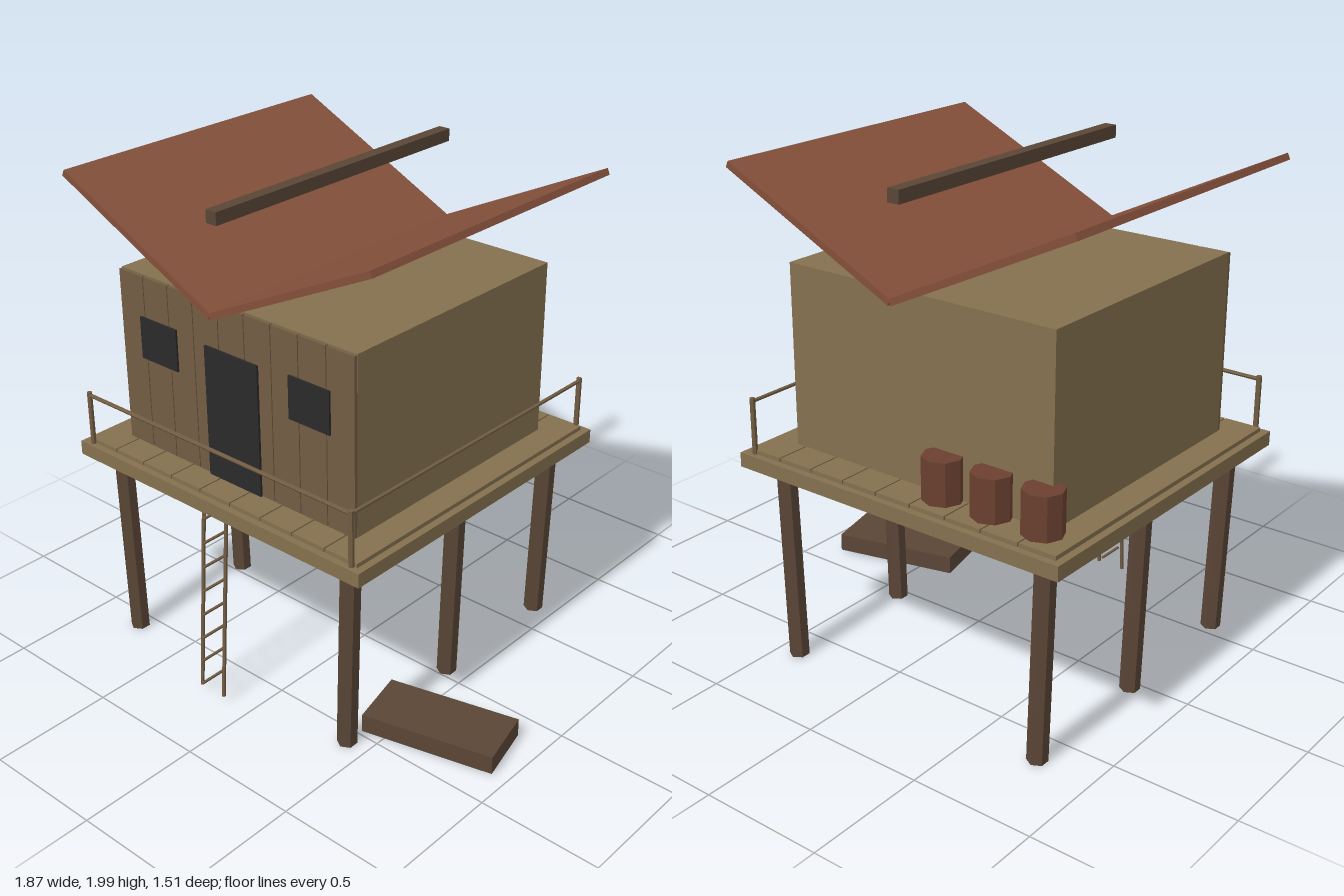
import * as THREE from 'three';

const mat = (color) => new THREE.MeshStandardMaterial({ color, flatShading: true });
const timber = mat(0x85704f), plankWood = mat(0x725d43), darkWood = mat(0x5a4636);
const roofRed = mat(0x84503a), barrelRed = mat(0x6b4030), black = mat(0x2b2a2a);

const CX = -0.18, CZ = -0.04; // centre of the hut

export function createModel() {
  const model = new THREE.Group();

  const add = (name, geometry, material, x, y, z) => {
    const mesh = new THREE.Mesh(geometry, material);
    mesh.name = name;
    mesh.position.set(x, y, z);
    model.add(mesh);
    return mesh;
  };
  const box = (name, material, w, h, d, x, y, z) =>
    add(name, new THREE.BoxGeometry(w, h, d), material, x, y, z);

  // round bar running between two points
  const bar = (name, material, a, b, radius, sides) => {
    const from = new THREE.Vector3(...a), to = new THREE.Vector3(...b);
    const dir = to.clone().sub(from);
    const mid = from.clone().add(to).multiplyScalar(0.5);
    const mesh = add(name, new THREE.CylinderGeometry(radius, radius, dir.length(), sides), material, mid.x, mid.y, mid.z);
    mesh.quaternion.setFromUnitVectors(new THREE.Vector3(0, 1, 0), dir.normalize());
    return mesh;
  };

  // platform and deck planks
  box('platform', timber, 1.475, 0.058, 1.42, CX, 0.848, CZ);
  for (let i = 0; i < 9; i++) {
    box('deckPlank', timber, 0.152, 0.018, 1.365, CX + (i - 4) * 0.158, 0.885, CZ);
  }

  // stilts, leaning slightly inward at the foot
  for (const side of [-1, 1]) {
    for (const z of [0.565, CZ, -0.638]) {
      bar('stilt', darkWood, [CX + side * 0.586, 0.007, z], [CX + side * 0.61, 0.84, z], 0.04, 6);
    }
  }

  // cabin with vertical front boards
  box('cabin', timber, 1.19, 0.735, 1.095, CX, 1.246, -0.036);
  for (let i = 0; i < 9; i++) {
    box('frontBoard', plankWood, 0.128, 0.715, 0.015, CX + (i - 4) * 0.1325, 1.252, 0.518);
  }
  box('door', black, 0.27, 0.538, 0.02, CX, 1.163, 0.525);
  for (const side of [-1, 1]) {
    box('window', black, 0.196, 0.172, 0.02, CX + side * 0.386, 1.36, 0.524);
  }

  // V-shaped roof and the beam floating over its valley
  for (const side of [-1, 1]) {
    const panel = box('roofPanel', roofRed, 0.835, 0.026, 1.34, CX + side * 0.377, 1.796, CZ - 0.005);
    panel.rotation.z = side * 0.448;
  }
  box('ridgeBeam', darkWood, 0.05, 0.05, 1.28, CX, 1.975, -0.045);

  // railing along the front and the left side
  const railY = 1.09, west = -0.866, east = 0.505, front = 0.647, back = -0.722;
  for (const [x, z] of [[west, front], [east, front], [east, back]]) {
    bar('railPost', plankWood, [x, 0.87, z], [x, 1.103, z], 0.011, 6);
  }
  bar('frontRail', plankWood, [west, railY, front], [east, railY, front], 0.008, 6);
  bar('sideRail', plankWood, [east, railY, front], [east, railY, back], 0.008, 6);

  // ladder with rungs pointing fore and aft
  for (const side of [-1, 1]) {
    const x = CX + side * 0.06;
    bar('ladderRail', plankWood, [x, 0.035, 0.703], [x, 0.825, 0.645], 0.008, 6);
  }
  for (let i = 0; i < 8; i++) {
    const y = 0.096 + i * 0.1037, z = 0.698 - i * 0.0069;
    bar('ladderRung', plankWood, [CX, y, z - 0.06], [CX, y, z + 0.06], 0.006, 6);
  }

  // barrels against the back wall
  for (let i = 0; i < 3; i++) {
    add('barrel', new THREE.CylinderGeometry(0.078, 0.078, 0.185, 8), barrelRed, -0.757 + i * 0.217, 0.97, -0.613);
  }

  // low dock on the ground
  box('dock', darkWood, 0.54, 0.076, 0.252, 0.643, 0.048, 0.298).rotation.y = 0.24;

  return model;
}
